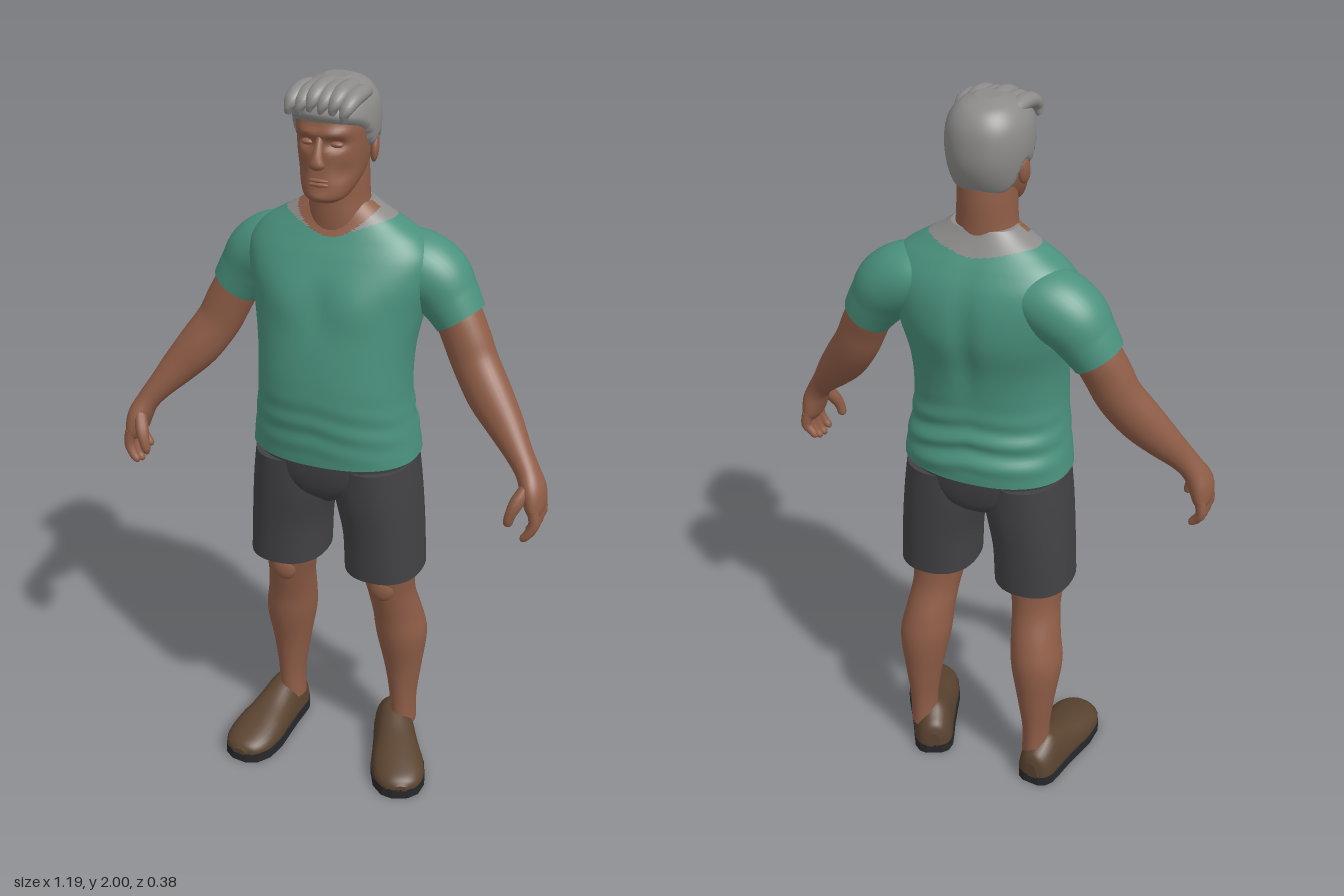
import * as THREE from 'three';

const material = (name, color) => Object.assign(new THREE.MeshStandardMaterial({ color }), { name });
const V = (x, y, z) => new THREE.Vector3(x, y, z);
const bump = (d, w) => Math.exp(-(d * d) / (w * w));

// Skin a closed tube over rows [x, y, z, a, b]: centre and two half widths.
// Without ref the rings stay level (rows run upwards); with ref they follow the path.
function loft(name, rows, mats, { seg = 32, steps = 5, power = 2, ref = null, deform = null, pick = null } = {}) {
  const path = new THREE.CatmullRomCurve3(rows.map(r => V(r[0], r[1], r[2])), false, 'catmullrom');
  const size = new THREE.CatmullRomCurve3(rows.map(r => V(r[3], r[4], 0)), false, 'catmullrom');
  const n = (rows.length - 1) * steps, pos = [], list = Array.isArray(mats) ? mats : [mats];
  const faces = list.map(() => []);
  const pw = c => Math.sign(c) * Math.abs(c) ** (2 / power);
  for (let i = 0; i <= n; i++) {
    const p = path.getPoint(i / n), r = size.getPoint(i / n);
    let u = V(1, 0, 0), v = V(0, 0, 1);
    if (ref) {
      const t = path.getTangent(i / n);
      u = t.clone().cross(ref).normalize();
      v = u.clone().cross(t);
    }
    for (let j = 0; j < seg; j++) {
      const a = j / seg * Math.PI * 2;
      const q = p.clone().addScaledVector(u, r.x * pw(Math.cos(a))).addScaledVector(v, r.y * pw(Math.sin(a)));
      if (deform) deform(q);
      pos.push(q.x, q.y, q.z);
    }
  }
  const at = k => V(pos[3 * k], pos[3 * k + 1], pos[3 * k + 2]);
  const tri = (a, b, c) => {
    const m = pick ? pick(at(a).add(at(b)).add(at(c)).divideScalar(3)) : 0;
    faces[m].push(a, b, c);
  };
  for (let i = 0; i < n; i++) for (let j = 0; j < seg; j++) {
    const k = (j + 1) % seg, a = i * seg + j, b = i * seg + k, c = a + seg, d = b + seg;
    tri(a, c, b);
    tri(b, c, d);
  }
  // crisp end caps on their own vertices
  for (const end of [0, n]) {
    const base = pos.length / 3, mid = V(0, 0, 0);
    for (let j = 0; j < seg; j++) {
      const q = at(end * seg + j);
      pos.push(q.x, q.y, q.z);
      mid.addScaledVector(q, 1 / seg);
    }
    pos.push(mid.x, mid.y, mid.z);
    for (let j = 0; j < seg; j++) {
      const a = base + j, b = base + (j + 1) % seg;
      end ? tri(base + seg, b, a) : tri(base + seg, a, b);
    }
  }
  const g = new THREE.BufferGeometry();
  g.setAttribute('position', new THREE.Float32BufferAttribute(pos, 3));
  g.setIndex(faces.flat());
  let start = 0;
  if (list.length > 1) faces.forEach((f, m) => { g.addGroup(start, f.length, m); start += f.length; });
  g.computeVertexNormals();
  const mesh = new THREE.Mesh(g, mats);
  mesh.name = name;
  return mesh;
}

export function createModel() {
  const skin = material('skin', 0x8f5d47), shirt = material('shirt green', 0x4a917d);
  const grey = material('hair grey', 0x8c8b8a), cloth = material('shorts charcoal', 0x424245);
  const leather = material('shoe brown', 0x5a4330), rubber = material('sole black', 0x27282a);
  const model = new THREE.Group(), Y = V(0, 1, 0), Z = V(0, 0, 1);
  const add = (...a) => { const m = loft(...a); model.add(m); return m; };
  const blob = (name, mat, x, y, z, a, b, c) => {
    const m = new THREE.Mesh(new THREE.SphereGeometry(1, 20, 14), mat);
    m.position.set(x, y, z);
    m.scale.set(a, b, c);
    m.name = name;
    model.add(m);
    return m;
  };
  // level rows given as [y, half width, front z, back z]
  const level = rows => rows.map(([y, w, f, b]) => [0, y, (f + b) / 2, w, (f - b) / 2]);

  // T-shirt body with waist folds, open neckline and pale back collar
  add('shirtBody', level([[1.015, .228, .15, -.18], [1.06, .222, .155, -.183], [1.14, .21, .16, -.166],
    [1.22, .203, .163, -.16], [1.32, .207, .152, -.17], [1.42, .225, .132, -.193], [1.5, .243, .112, -.192],
    [1.56, .245, .085, -.177], [1.605, .215, .06, -.152], [1.64, .165, .042, -.128], [1.67, .115, .03, -.11],
    [1.69, .085, .02, -.1]]), [shirt, skin, grey], {
    seg: 112, steps: 10, power: 2.3,
    deform: q => {
      const back = q.z < 0 ? 1.6 : .6;
      const fold = .004 * back * bump(q.y - 1.12, .07) * Math.sin(q.y * 95 + Math.abs(q.x) * 14 + q.x * 9);
      q.z += Math.sign(q.z) * fold;
      if (q.z > 0) q.z += .01 * bump(q.y - 1.45, .06) * (bump(Math.abs(q.x) - .09, .06) - .4 * bump(q.x, .03));
      else q.z += .012 * bump(q.x, .03) * bump(q.y - 1.42, .15);
    },
    pick: c => {
      if (c.z > -.03 && c.y > 1.612 + .055 * (c.x / .1) ** 2) return 1;
      return c.y > 1.58 && (c.x / .145) ** 2 + ((c.z + .04) / .092) ** 2 < 1 ? 2 : 0;
    },
  });

  // Neck
  add('neck', level([[1.58, .09, .045, -.1], [1.65, .083, .05, -.105], [1.7, .076, .05, -.105],
    [1.76, .073, .05, -.105], [1.82, .07, .04, -.1]]), skin);

  // Head with brow, eye sockets and cheekbones
  const headRows = level([[1.713, .035, .1, .035], [1.727, .055, .113, .0], [1.76, .072, .113, -.055],
    [1.8, .082, .107, -.092], [1.85, .089, .106, -.113], [1.9, .092, .102, -.116], [1.94, .085, .09, -.108],
    [1.97, .063, .06, -.085], [1.985, .03, .015, -.045]]);
  add('head', headRows, skin, {
    seg: 64, steps: 8, power: 2.25,
    deform: q => {
      if (q.z < .03) return;
      const ax = Math.abs(q.x);
      q.z += .009 * bump(q.y - 1.883, .012) * bump(ax - .035, .035) - .017 * bump(q.y - 1.857, .014) * bump(ax - .037, .022)
        - .008 * bump(q.y - 1.785, .025) * bump(ax - .055, .018) + .006 * bump(q.y - 1.728, .014) * bump(q.x, .025);
    },
  });
  add('nose', [[0, 1.875, .096, .008, .01], [0, 1.85, .108, .011, .012], [0, 1.825, .118, .015, .014],
    [0, 1.81, .12, .02, .014], [0, 1.803, .115, .008, .006]], skin, { ref: Z, seg: 16 });
  for (const [y, h] of [[1.771, .005], [1.761, .006]]) blob('lip', skin, 0, y, .111, .026, h, .008);
  for (const s of [-1, 1]) {
    blob('eyelid', skin, s * .037, 1.856, .085, .017, .008, .012);
    const ear = blob('ear', skin, s * .092, 1.825, -.022, .011, .034, .02);
    ear.rotation.set(-.2, s * .3, 0);
  }

  // Hair cap: rises from the scalp above the hairline and sinks below it
  const line = new THREE.CatmullRomCurve3([V(-.14, 1.765, 0), V(-.06, 1.785, 0), V(-.03, 1.85, 0),
    V(.005, 1.835, 0), V(.04, 1.885, 0), V(.115, 1.91, 0)]).getPoints(60);
  const mid = V(0, 1.86, -.01);
  add('hair', headRows, grey, {
    seg: 72, steps: 10, power: 2.2,
    deform: q => {
      const h = (line.find(p => p.x >= q.z) ?? line[60]).y;
      const up = THREE.MathUtils.smoothstep(q.y, h - .012, h + .015);
      q.addScaledVector(q.clone().sub(mid).normalize(), -.014 + .027 * up);
    },
  });
  // Swept locks over the crown
  for (let i = 0; i < 6; i++) {
    const x = -.07 + i * .028, drop = 2.2 * x * x + (i % 2) * .005;
    add('hairLock', [[x - .012, 1.932 - drop, .1, .008, .008], [x - .006, 1.958 - drop, .096, .018, .015],
      [x, 1.977 - drop, .066, .022, .019], [x * .95 + .004, 1.981 - drop, .01, .023, .018],
      [x * .85 + .004, 1.966 - drop, -.05, .014, .014]], grey, { ref: Y, seg: 16 });
  }

  // Shorts seat
  add('shortsSeat', [[0, .87, -.01, .03, .08], [0, .91, -.015, .12, .13], [0, .96, -.015, .2, .148],
    [0, 1.035, -.015, .221, .156]], cloth, { seg: 48, power: 2.3 });

  for (const s of [-1, 1]) {
    const mirror = rows => rows.map(([x, ...r]) => [s * x, ...r]);
    add('shortsLeg', mirror([[.14, .66, -.02, .107, .122], [.134, .78, -.02, .106, .13],
      [.118, .9, -.017, .112, .141], [.11, 1.0, -.015, .108, .145]]), cloth, { seg: 40, power: 2.3 });
    add('leg', mirror([[.177, .08, -.09, .038, .05], [.177, .17, -.09, .038, .051], [.175, .28, -.09, .053, .062],
      [.171, .4, -.081, .072, .079], [.162, .48, -.067, .069, .076], [.152, .56, -.042, .067, .07],
      [.147, .62, -.03, .074, .072], [.145, .7, -.02, .085, .08]]), skin);
    blob('kneecap', skin, s * .147, .6, .024, .036, .042, .022);

    // Sleeve and bare arm down to the palm
    add('sleeve', mirror([[.11, 1.545, -.07, .06, .085], [.18, 1.528, -.073, .088, .096], [.24, 1.495, -.075, .09, .093],
      [.28, 1.445, -.073, .078, .08], [.312, 1.398, -.07, .068, .071]]), shirt, { ref: Z, seg: 40, steps: 8 });
    add('arm', mirror([[.27, 1.46, -.075, .05, .055], [.302, 1.41, -.07, .06, .062], [.333, 1.35, -.06, .062, .058],
      [.362, 1.29, -.05, .061, .055], [.41, 1.22, -.025, .06, .053], [.46, 1.16, 0, .05, .046],
      [.51, 1.1, .03, .036, .037], [.54, 1.06, .045, .031, .038], [.56, 1.02, .056, .032, .05],
      [.57, .98, .06, .026, .053], [.574, .955, .06, .014, .044]]), skin, { ref: Z });
    for (let i = 0; i < 4; i++) {
      const z = .019 + i * .027, tip = [.912, .897, .892, .9][i];
      add('finger', mirror([[.572, .985, z, .014, .014], [.578, .945, z, .014, .014], [.566, tip + .015, z + .003, .012, .013],
        [.554, tip, z + .004, .01, .011], [.549, tip - .007, z + .004, .003, .004]]), skin, { ref: Z, seg: 12, steps: 3 });
    }
    add('thumb', mirror([[.55, 1.04, .075, .015, .018], [.532, 1.0, .105, .018, .019], [.52, .968, .117, .014, .015],
      [.515, .943, .118, .012, .012], [.514, .935, .118, .004, .004]]), skin, { ref: Z, seg: 12, steps: 3 });

    // Shoe: domed upper on a flat sole, the left one turned further out
    const shoe = new THREE.Group();
    shoe.name = s > 0 ? 'leftShoe' : 'rightShoe';
    const rows = [[-.055, .02, .045], [-.045, .04, .07], [-.02, .053, .088], [.02, .057, .11], [.06, .06, .1],
      [.12, .067, .078], [.18, .075, .062], [.24, .071, .045], [.28, .05, .03], [.297, .02, .013]];
    shoe.add(loft('shoeUpper', rows.map(([z, w, h]) => [0, .03, z, w, h]), leather,
      { ref: Y, power: 2.2, deform: q => { q.y = Math.max(q.y, .025); } }));
    const edge = rows.map(([z, w]) => new THREE.Vector2(w + .003, z));
    const outline = new THREE.Shape([...edge, ...edge.map(p => new THREE.Vector2(-p.x, p.y)).reverse()]);
    const sole = new THREE.Mesh(new THREE.ExtrudeGeometry(outline, { depth: .03, bevelEnabled: false })
      .rotateX(Math.PI / 2).translate(0, .03, 0), rubber);
    sole.name = 'sole';
    shoe.add(sole);
    shoe.position.set(s > 0 ? .143 : -.195, 0, -.106);
    shoe.rotation.y = s > 0 ? .42 : -.12;
    model.add(shoe);
  }
  return model;
}
